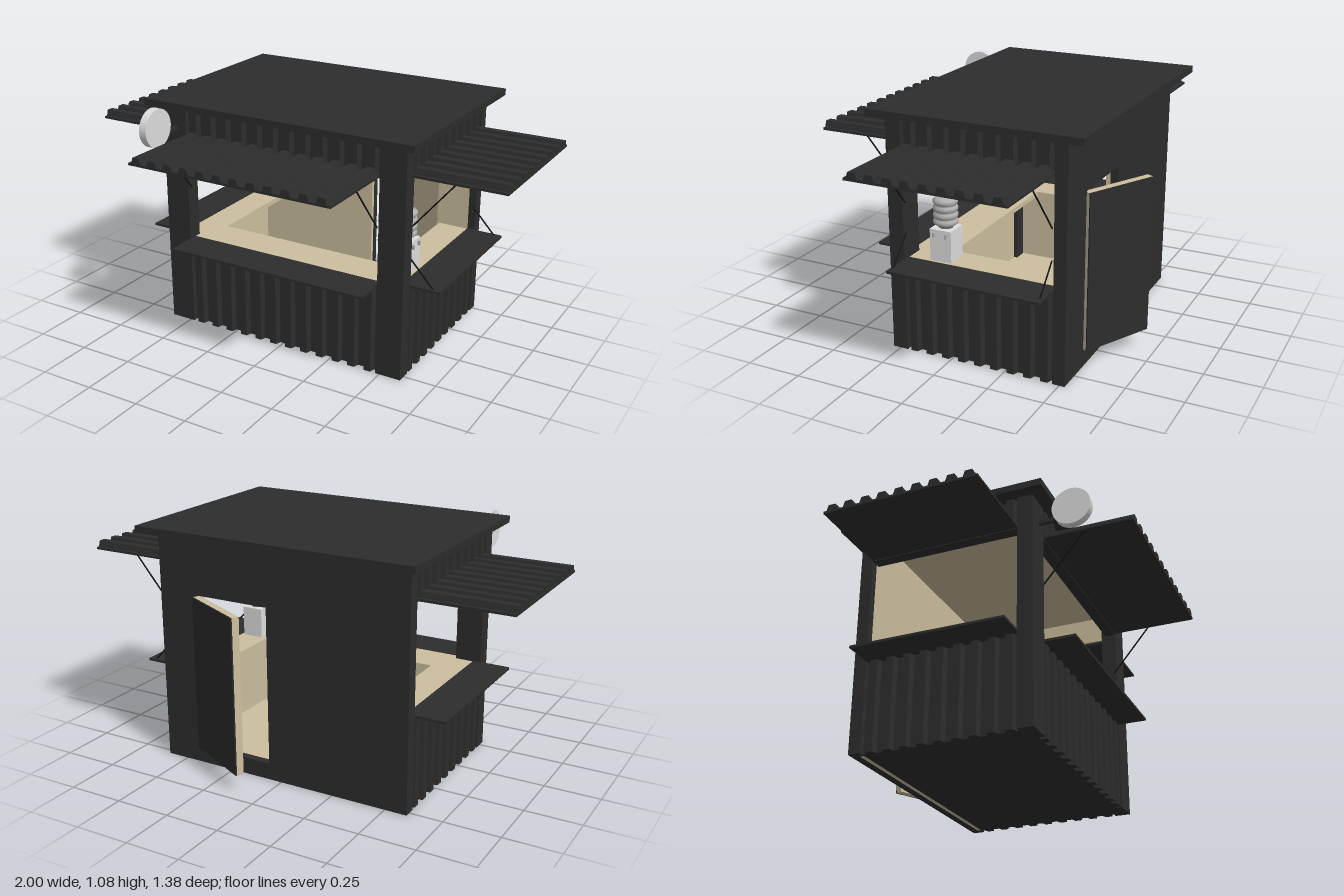
import * as THREE from 'three';

export function createModel() {
  const root = new THREE.Group();
  root.name = 'kiosk';
  const mat = (name, color) => Object.assign(new THREE.MeshStandardMaterial({ color }), { name });
  const dark = mat('charcoal metal', 0x2d2d2d);
  const wood = mat('pale plywood', 0xcdbf9f);
  const white = mat('light plastic', 0xdedede);
  const grey = mat('bottle grey', 0xb0b0b0);
  const black = mat('black rod', 0x151515);

  const add = (parent, name, geo, m) => {
    const mesh = new THREE.Mesh(geo, m);
    mesh.name = name;
    parent.add(mesh);
    return mesh;
  };
  // Box given by its limits on each axis
  const box = (parent, name, m, x0, x1, y0, y1, z0, z1) => {
    const b = add(parent, name, new THREE.BoxGeometry(x1 - x0, y1 - y0, z1 - z0), m);
    b.position.set((x0 + x1) / 2, (y0 + y1) / 2, (z0 + z1) / 2);
    return b;
  };
  const rod = (parent, name, a, b) => {
    const curve = new THREE.LineCurve3(new THREE.Vector3(...a), new THREE.Vector3(...b));
    return add(parent, name, new THREE.TubeGeometry(curve, 1, 0.0035, 6), black);
  };

  // Ribbed sheet: width on x, ribs rising in +y, length on z
  const BASE = 0.01, DEPTH = 0.036;
  const ribbed = (width, length) => {
    const n = Math.round(width / 0.08), p = width / n;
    const s = new THREE.Shape();
    s.moveTo(-width / 2, 0);
    s.lineTo(width / 2, 0);
    s.lineTo(width / 2, BASE);
    for (let i = n - 1; i >= 0; i--) {
      const c = -width / 2 + (i + 0.5) * p;
      s.lineTo(c + 0.024, BASE);
      s.lineTo(c + 0.016, DEPTH);
      s.lineTo(c - 0.016, DEPTH);
      s.lineTo(c - 0.024, BASE);
    }
    s.lineTo(-width / 2, BASE);
    return new THREE.ExtrudeGeometry(s, { depth: length, bevelEnabled: false });
  };

  // One serving side, facing +z at distance d from the middle
  const servingSide = (name, w, d, awningLength, struts, cables) => {
    const g = new THREE.Group();
    g.name = name;
    for (const [label, y0, y1] of [['lowerPanel', 0, 0.41], ['upperPanel', 0.9, 1.045]]) {
      const panel = add(g, label, ribbed(w, y1 - y0), dark);
      panel.rotation.x = Math.PI / 2;
      panel.position.set(0, y1, d - DEPTH);
      box(g, label + 'Lining', wood, -w / 2, w / 2, y0 + 0.01, y1, d - DEPTH - 0.015, d - DEPTH);
    }
    box(g, 'windowHeader', dark, -w / 2, w / 2, 0.893, 0.905, d - DEPTH - 0.015, d);
    const awning = add(g, 'awning', ribbed(w, awningLength), dark);
    awning.position.set(0, 0.897, d);
    box(g, 'shelf', dark, -w / 2, w / 2, 0.41, 0.421, d - DEPTH, d + 0.135);
    for (const s of [-1, 1]) {
      const x = s * (w / 2 - 0.012);
      if (struts) rod(g, 'awningStrut', [x, 0.9, d + 0.18], [x, 0.675, d - 0.01]);
      if (cables) rod(g, 'shelfStay', [x, 0.421, d + 0.1], [x, 0.54, d - 0.01]);
    }
    root.add(g);
    return g;
  };
  servingSide('frontSide', 0.96, 0.285, 0.395, true, false);
  const left = servingSide('leftSide', 0.69, 0.6, 0.4, true, true);
  left.rotation.y = Math.PI / 2;
  left.position.z = -0.125;
  const right = servingSide('rightSide', 0.69, 0.6, 0.4, false, false);
  right.rotation.y = -Math.PI / 2;
  right.position.z = -0.125;

  // Front corner posts
  for (const s of [-1, 1]) {
    const x0 = s > 0 ? 0.48 : -0.6;
    box(root, 'cornerPost', dark, x0, x0 + 0.12, 0, 1.045, 0.215, 0.285);
  }

  // Roof, ceiling and floor
  box(root, 'roof', dark, -0.655, 0.655, 1.045, 1.075, -0.61, 0.345);
  box(root, 'ceiling', wood, -0.56, 0.56, 1.037, 1.045, -0.47, 0.24);
  box(root, 'floorBase', dark, -0.565, 0.565, 0, 0.01, -0.5, 0.25);
  box(root, 'floor', wood, -0.56, 0.56, 0.01, 0.016, -0.47, 0.24);

  // Back wall with the doorway, charcoal outside and plywood inside
  const DOOR = { x0: 0.06, x1: 0.41, y0: 0.075, y1: 0.782 };
  const backWall = (name, m, half, depth, z) => {
    const s = new THREE.Shape();
    s.moveTo(-half, 0).lineTo(half, 0).lineTo(half, 1.045).lineTo(-half, 1.045);
    const h = new THREE.Path();
    h.moveTo(DOOR.x0, DOOR.y0).lineTo(DOOR.x0, DOOR.y1).lineTo(DOOR.x1, DOOR.y1).lineTo(DOOR.x1, DOOR.y0);
    s.holes.push(h);
    add(root, name, new THREE.ExtrudeGeometry(s, { depth, bevelEnabled: false }), m).position.z = z;
  };
  backWall('backWall', dark, 0.6, 0.035, -0.525);
  backWall('backWallLining', wood, 0.565, 0.02, -0.49);
  for (const s of [-1, 1]) {
    const x0 = s > 0 ? 0.565 : -0.6;
    box(root, 'backPost', dark, x0, x0 + 0.035, 0, 1.045, -0.49, -0.47);
  }

  // Door swung outwards from its hinge
  const door = new THREE.Group();
  door.name = 'door';
  box(door, 'doorLeaf', wood, -0.345, 0, 0.08, 0.778, -0.028, 0.004);
  box(door, 'doorSkin', dark, -0.345, 0, 0.08, 0.778, -0.034, -0.028);
  door.position.set(0.405, 0, -0.515);
  door.rotation.y = -0.47;
  root.add(door);

  // U-shaped inner counter
  box(root, 'frontCounter', wood, -0.56, 0.56, 0.395, 0.419, 0.075, 0.25);
  for (const s of [-1, 1]) {
    const x0 = s > 0 ? 0.42 : -0.56;
    box(root, 'sideCounter', wood, x0, x0 + 0.14, 0.395, 0.419, -0.47, 0.075);
  }

  // Water cooler
  const cooler = new THREE.Group();
  cooler.name = 'waterCooler';
  box(cooler, 'coolerBody', white, -0.05, 0.05, 0, 0.14, -0.05, 0.05);
  const profile = [[0, 0.14], [0.03, 0.14], [0.036, 0.152]];
  for (let i = 0; i < 4; i++) {
    const y = 0.155 + i * 0.03;
    profile.push([0.046, y], [0.053, y + 0.006], [0.053, y + 0.018], [0.046, y + 0.024]);
  }
  profile.push([0.04, 0.275], [0, 0.277]);
  const pts = profile.map(([x, y]) => new THREE.Vector2(x, y));
  add(cooler, 'waterBottle', new THREE.LatheGeometry(pts, 28), grey);
  for (const z of [-0.028, 0.028]) box(cooler, 'tap', grey, 0.05, 0.062, 0.108, 0.128, z - 0.004, z + 0.004);
  cooler.position.set(0.497, 0.419, 0.07);
  root.add(cooler);

  // Round blank sign on a bracket
  const sign = add(root, 'roundSign', new THREE.CylinderGeometry(0.086, 0.086, 0.036, 40), white);
  sign.rotation.z = Math.PI / 2;
  sign.position.set(-0.528, 0.983, 0.435);
  box(root, 'signBracket', dark, -0.536, -0.52, 0.935, 0.953, 0.28, 0.37);

  return root;
}
